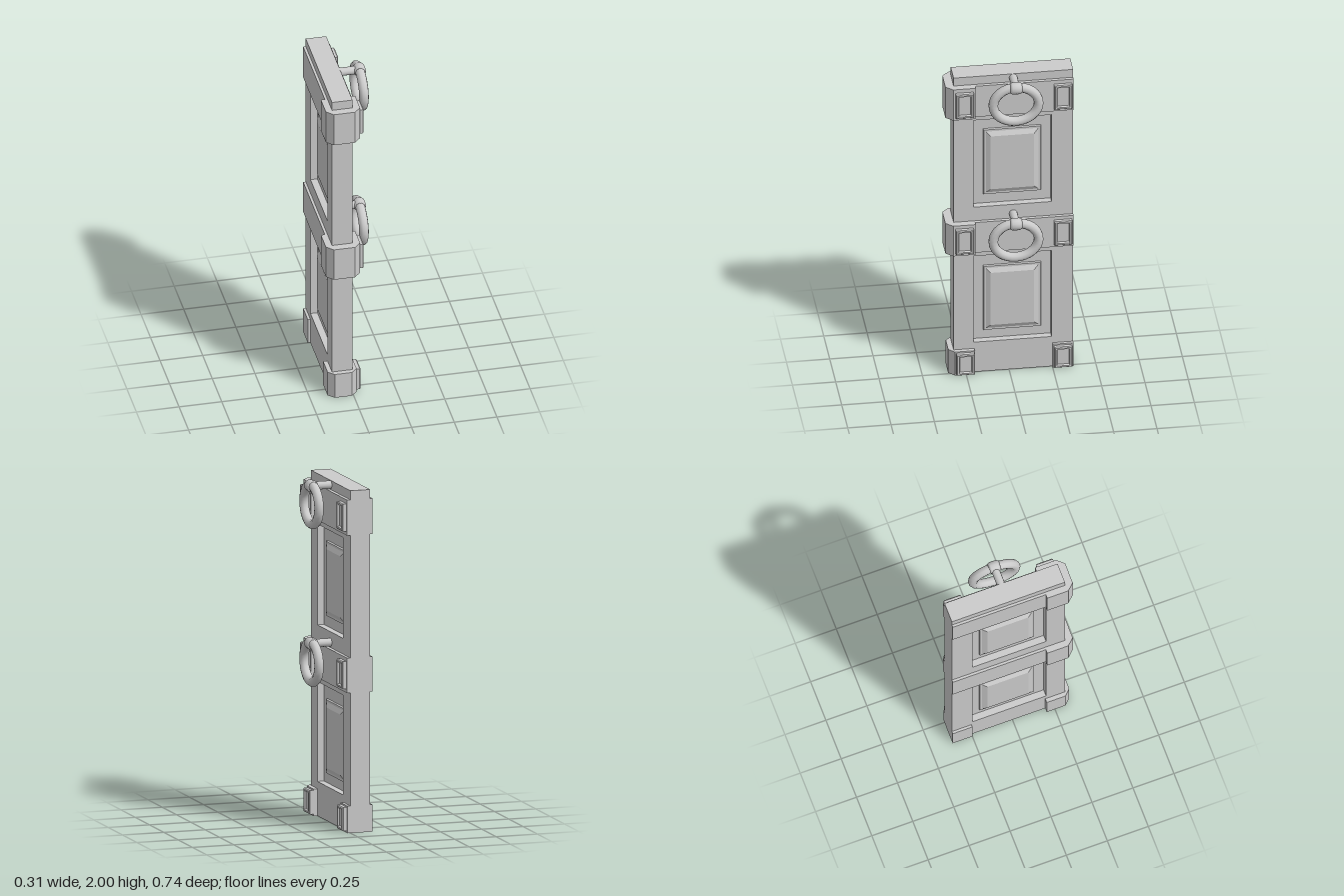
import * as THREE from 'three';

const mat = new THREE.MeshStandardMaterial({ color: 0xcccccc });
const flatMat = new THREE.MeshStandardMaterial({ color: 0xcccccc, flatShading: true });

function add(parent, name, geometry, material = flatMat) {
  const mesh = new THREE.Mesh(geometry, material);
  mesh.name = name;
  parent.add(mesh);
  return mesh;
}

// Rectangular relief facing +x, lofted through [inset, height] levels and capped
function relief(width, height, levels) {
  const pos = [], index = [];
  for (const [inset, x] of levels) {
    const z = width / 2 - inset, y = height / 2 - inset;
    pos.push(x, -y, z, x, -y, -z, x, y, -z, x, y, z);
  }
  for (let i = 0; i < levels.length - 1; i++) {
    for (let k = 0; k < 4; k++) {
      const a = i * 4 + k, b = i * 4 + (k + 1) % 4;
      index.push(a, b, b + 4, a, b + 4, a + 4);
    }
  }
  const t = (levels.length - 1) * 4;
  index.push(t, t + 1, t + 2, t, t + 2, t + 3);
  const g = new THREE.BufferGeometry();
  g.setAttribute('position', new THREE.Float32BufferAttribute(pos, 3));
  g.setIndex(index);
  const flat = g.toNonIndexed();
  flat.computeVertexNormals();
  return flat;
}

// Plan outline of [x, z] points raised from y0 to y1
function planBlock(points, y0, y1) {
  const shape = new THREE.Shape(points.map(([x, z]) => new THREE.Vector2(x, z)));
  const g = new THREE.ExtrudeGeometry(shape, { depth: y1 - y0, bevelEnabled: false });
  return g.rotateX(Math.PI / 2).translate(0, y1, 0);
}

function rectPath(Type, z0, z1, y0, y1) {
  const p = new Type();
  p.moveTo(z0, y0);
  p.lineTo(z1, y0);
  p.lineTo(z1, y1);
  p.lineTo(z0, y1);
  p.closePath();
  return p;
}

// Pull ring hanging from a collar on a post
function pullRing() {
  const ring = new THREE.Group();
  ring.name = 'pullRing';
  const points = [];
  for (let i = 0; i < 16; i++) {
    const a = i / 16 * Math.PI * 2;
    points.push(new THREE.Vector3(0.115, -0.109 + 0.113 * Math.cos(a), 0.131 * Math.sin(a)));
  }
  const curve = new THREE.CatmullRomCurve3(points, true);
  add(ring, 'ringHoop', new THREE.TubeGeometry(curve, 32, 0.028, 10, true), mat);
  const profile = [[0, -0.034], [0.028, -0.034], [0.035, -0.022], [0.036, 0], [0.035, 0.022], [0.028, 0.034], [0, 0.034]];
  const collar = new THREE.LatheGeometry(profile.map(([r, y]) => new THREE.Vector2(r, y)), 12);
  add(ring, 'ringCollar', collar.rotateX(Math.PI / 2).translate(0.117, 0, 0), mat);
  const post = new THREE.CylinderGeometry(0.024, 0.024, 0.11, 12);
  add(ring, 'ringPost', post.rotateZ(Math.PI / 2).translate(0.045, 0, 0), mat);
  return ring;
}

export function createModel() {
  const door = new THREE.Group();
  door.name = 'door';

  // Slab with two panel openings
  const panels = [[0.2, 0.78, 0.255, 0.69], [1.11, 1.695, 1.17, 1.61]];
  const outline = rectPath(THREE.Shape, -0.37, 0.32, 0, 1.99);
  for (const [y0, y1] of panels) outline.holes.push(rectPath(THREE.Path, -0.245, 0.205, y0, y1));
  const slab = new THREE.ExtrudeGeometry(outline, { depth: 0.12, bevelEnabled: false });
  add(door, 'slab', slab.rotateY(-Math.PI / 2));

  // Recessed panels with a raised field on each face
  for (const [y0, y1, f0, f1] of panels) {
    const core = new THREE.BoxGeometry(0.04, y1 - y0, 0.45);
    add(door, 'panelRecess', core.translate(-0.06, (y0 + y1) / 2, -0.02));
    for (const side of [1, -1]) {
      const field = add(door, 'panelField', relief(0.335, f1 - f0,
        [[0, 0], [0.004, 0.01], [0.016, 0.01], [0.042, 0.024]]));
      field.position.set(-0.06 + side * 0.02, (f0 + f1) / 2, -0.022);
      if (side < 0) field.rotation.y = Math.PI;
    }
  }

  // Bands across the door, thicker and chamfered round the front edge
  const bandPlan = [[-0.135, -0.37], [0.02, -0.37], [0.02, 0.198], [0.042, 0.198], [0.042, 0.327],
    [0.005, 0.368], [-0.12, 0.368], [-0.158, 0.327], [-0.158, 0.198], [-0.135, 0.198]];
  for (const [y0, y1] of [[0.815, 1.018], [1.73, 1.937]]) add(door, 'band', planBlock(bandPlan, y0, y1));

  // Bottom corner caps
  add(door, 'frontFoot', planBlock([[-0.145, 0.2], [0.025, 0.2], [0.025, 0.315],
    [-0.01, 0.35], [-0.11, 0.35], [-0.145, 0.315]], 0, 0.158));
  add(door, 'backFoot', planBlock([[-0.135, -0.37], [0.018, -0.37], [0.018, -0.25], [-0.135, -0.25]], 0, 0.158));

  // Framed studs: [y, height, front x, front z, back x]
  const studs = [[0.08, 0.138, 0.025, 0.256, 0.018], [0.917, 0.16, 0.042, 0.263, 0.02], [1.833, 0.16, 0.042, 0.263, 0.02]];
  for (const [y, h, frontX, frontZ, backX] of studs) {
    for (const [x, z] of [[frontX, frontZ], [backX, -0.308]]) {
      const stud = add(door, 'stud', relief(0.104, h,
        [[0, 0], [0, 0.02], [0.005, 0.026], [0.014, 0.026], [0.019, 0.014]]));
      stud.position.set(x, y, z);
    }
  }

  // Pull rings
  for (const y of [1.049, 1.965]) {
    const ring = pullRing();
    ring.position.set(0, y, -0.024);
    door.add(ring);
  }
  return door;
}
